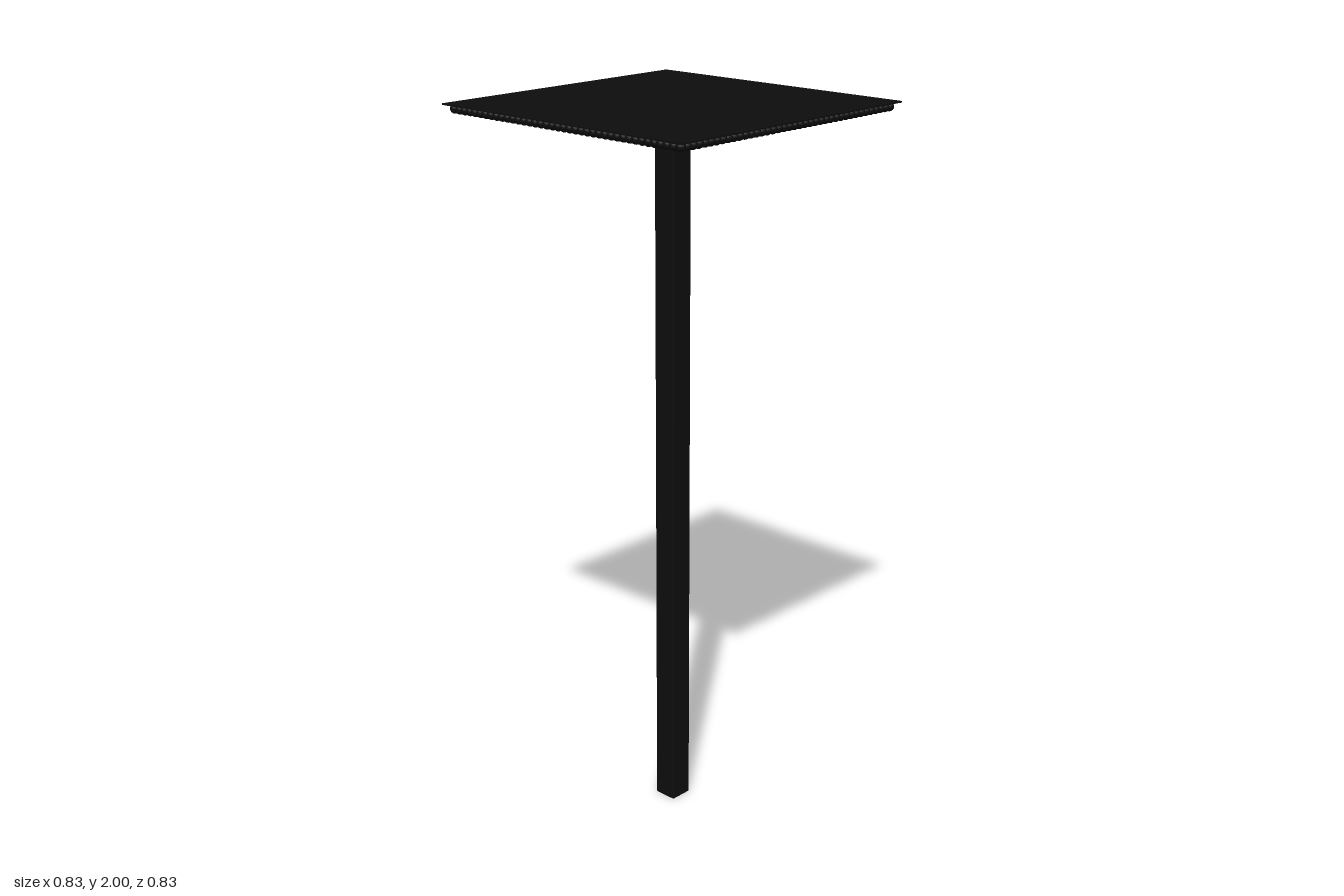
import * as THREE from 'three';
import { RoundedBoxGeometry } from 'three/addons/geometries/RoundedBoxGeometry.js';

const black = new THREE.MeshStandardMaterial({ color: 0x0d0d0d });

function add(parent, name, geometry, x, y, z) {
  const mesh = new THREE.Mesh(geometry, black);
  mesh.name = name;
  mesh.position.set(x, y, z);
  parent.add(mesh);
  return mesh;
}

export function createModel() {
  const model = new THREE.Group();
  model.name = 'pedestalTable';

  // Square column with slightly eased edges
  add(model, 'column', new RoundedBoxGeometry(0.068, 1.99, 0.068, 2, 0.005), 0, 0.995, 0);

  // Mounting plate under the top
  add(model, 'mountingPlate', new THREE.BoxGeometry(0.15, 0.026, 0.15), 0, 1.983, 0);

  // Thin square top
  add(model, 'topPanel', new THREE.BoxGeometry(0.83, 0.004, 0.83), 0, 1.998, 0);

  // Beaded trim below the rim: one row per side, turned about the centre
  const count = 40, edge = 0.392, radius = 0.0128;
  const bead = new THREE.SphereGeometry(radius, 12, 8);
  for (let side = 0; side < 4; side++) {
    const trim = new THREE.Group();
    trim.name = 'beadedTrim';
    trim.rotation.y = side * Math.PI / 2;
    for (let i = 0; i < count - 1; i++) {
      add(trim, 'bead', bead, -edge + 2 * edge * i / (count - 1), 1.9865, edge);
    }
    model.add(trim);
  }
  return model;
}
